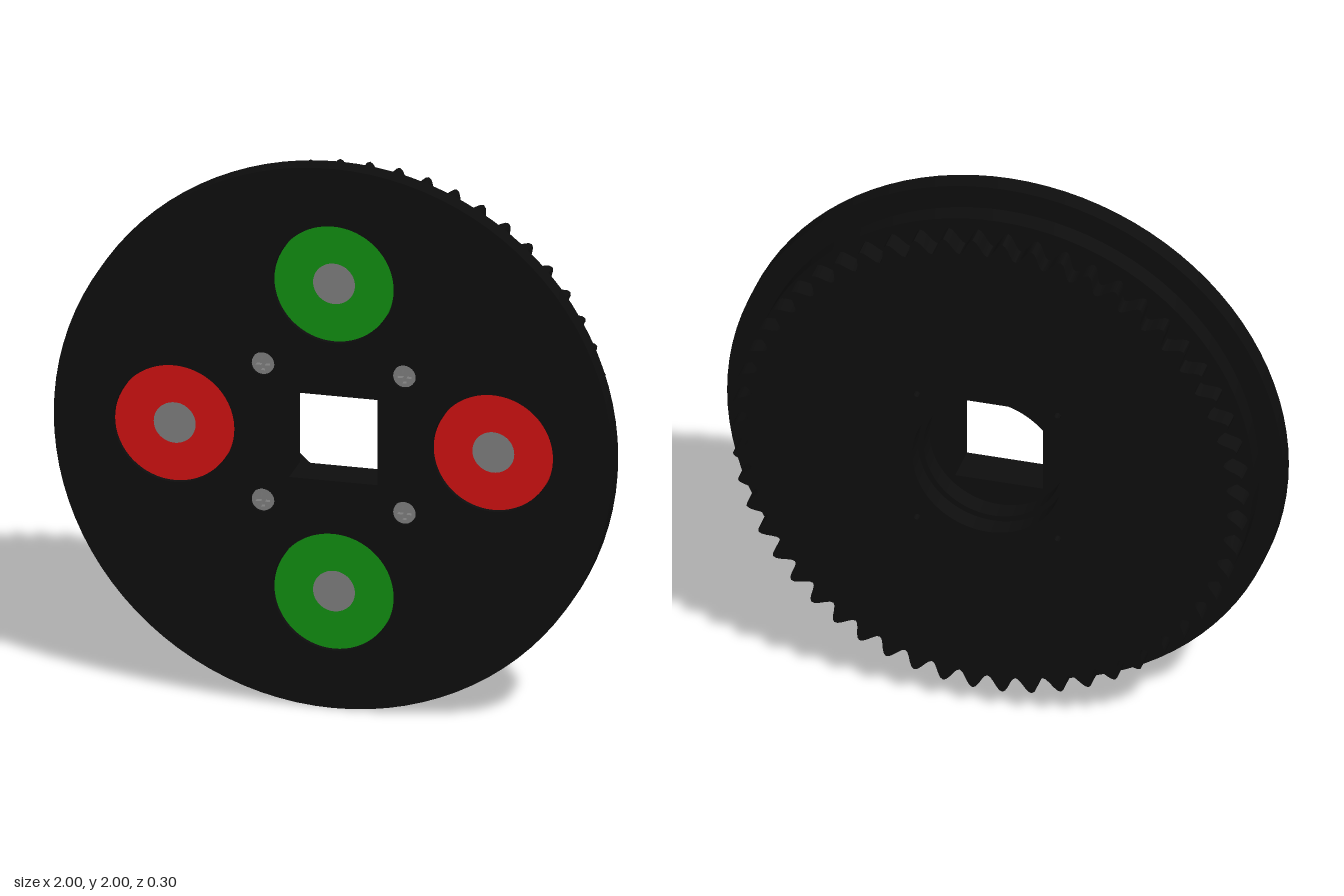
import * as THREE from 'three';
import { toCreasedNormals } from 'three/addons/utils/BufferGeometryUtils.js';

const material = (color) => new THREE.MeshStandardMaterial({ color });
const black = material(0x0d0d0d);
const grey = material(0x7c7c7c);
const red = material(0xcc1111);
const green = material(0x118c11);

const SCREW = 0.253;   // screw offset in x and y
const ROLLER = 0.57;   // distance of the inlaid discs from the axis
const corners = [[1, 1], [-1, 1], [-1, -1], [1, -1]].map(([x, y]) => [x * SCREW, y * SCREW]);
const inlays = [[ROLLER, 0, red], [0, ROLLER, green], [-ROLLER, 0, red], [0, -ROLLER, green]];

function circle(radius, x = 0, y = 0, Type = THREE.Path) {
  return new Type().absarc(x, y, radius, 0, Math.PI * 2, false);
}

function square(half) {
  return new THREE.Path([[-1, -1], [-1, 1], [1, 1], [1, -1]]
    .map(([x, y]) => new THREE.Vector2(x * half, y * half)));
}

export function createModel() {
  const model = new THREE.Group();
  const wheel = new THREE.Group();
  wheel.name = 'wheel';
  wheel.position.y = 1;
  model.add(wheel);

  // Extrudes an outline with holes between two depths
  function plate(name, shape, holes, z0, z1, mat = black, segments = 48) {
    shape.holes.push(...holes);
    const geometry = new THREE.ExtrudeGeometry(shape, {
      depth: z1 - z0, bevelEnabled: false, curveSegments: segments,
    });
    geometry.translate(0, 0, z0);
    const mesh = new THREE.Mesh(toCreasedNormals(geometry, 0.5), mat);
    mesh.name = name;
    wheel.add(mesh);
    return mesh;
  }

  // Front flange with pockets for the inlays and screws
  plate('frontFlange', circle(1, 0, 0, THREE.Shape), [
    square(0.158),
    ...inlays.map(([x, y]) => circle(0.216, x, y)),
    ...corners.map(([x, y]) => circle(0.042, x, y)),
  ], 0.075, 0.15);

  // Stepped disc behind the flange
  plate('innerFlange', circle(0.915, 0, 0, THREE.Shape), [square(0.158)], 0, 0.075);

  // Spacer hub with a round bore
  const screwHoles = () => corners.map(([x, y]) => circle(0.012, x, y));
  plate('hub', circle(0.414, 0, 0, THREE.Shape), [circle(0.25), ...screwHoles()], -0.075, 0);

  // Toothed ring
  const teeth = 54, steps = 10, outline = [];
  for (let i = 0; i < teeth * steps; i++) {
    const angle = (i / (teeth * steps)) * Math.PI * 2;
    const radius = 0.892 + 0.03 * Math.cos(angle * teeth);
    outline.push(new THREE.Vector2(Math.cos(angle) * radius, Math.sin(angle) * radius));
  }
  plate('sprocket', new THREE.Shape(outline), [circle(0.27), ...screwHoles()], -0.15, -0.075);

  // Coloured inlays with grey centres
  for (const [x, y, mat] of inlays) {
    plate('inlayRing', circle(0.213, x, y, THREE.Shape), [circle(0.075, x, y)], 0.075, 0.14, mat, 32);
    plate('inlayCentre', circle(0.075, x, y, THREE.Shape), [], 0.075, 0.14, grey, 24);
  }

  // Screw heads with a cross recess
  const a = 0.007, b = 0.026;
  const cross = [[a, b], [a, a], [b, a], [b, -a], [a, -a], [a, -b],
    [-a, -b], [-a, -a], [-b, -a], [-b, a], [-a, a], [-a, b]];
  for (const [x, y] of corners) {
    const recess = new THREE.Path(cross.map(([u, v]) => new THREE.Vector2(x + u, y + v)));
    plate('screwHead', circle(0.04, x, y, THREE.Shape), [recess], 0.125, 0.145, grey, 16);
    plate('screwCore', circle(0.036, x, y, THREE.Shape), [], 0.075, 0.126, grey, 16);
  }

  return model;
}
